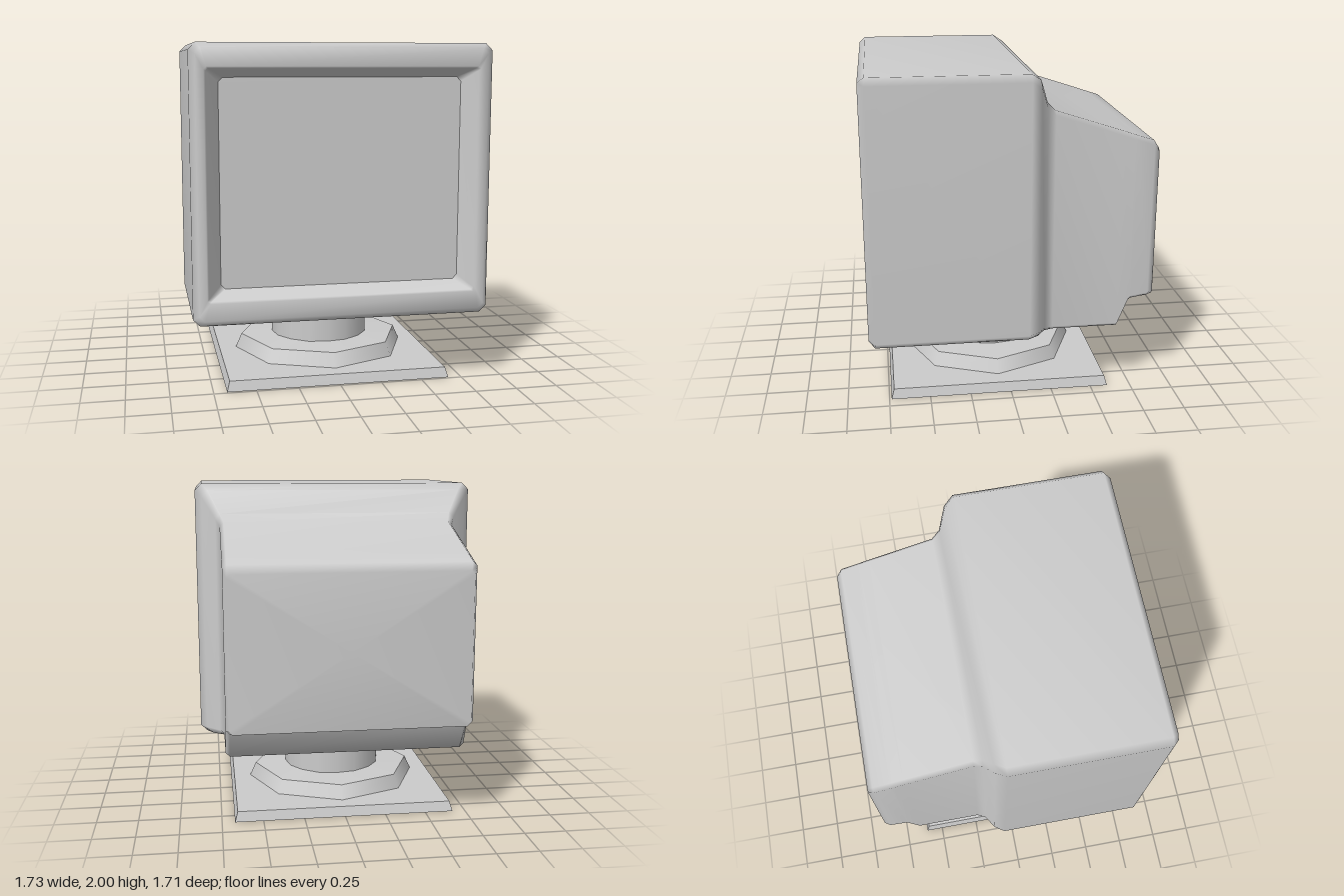
import * as THREE from 'three';

const BASE_Z = 0.065; // centre of the stand

function material(options = {}) {
  return new THREE.MeshStandardMaterial({ color: 0xcccccc, ...options });
}

function addMesh(parent, name, geometry, y = 0, z = 0, options = {}) {
  const mesh = new THREE.Mesh(geometry, material(options));
  mesh.name = name;
  mesh.position.set(0, y, z);
  parent.add(mesh);
  return mesh;
}

// Rectangle with chamfered corners, counter-clockwise seen from the front
function chamferedRect(hw, y0, y1, c) {
  return [
    [hw, y0 + c], [hw, y1 - c], [hw - c, y1], [c - hw, y1],
    [-hw, y1 - c], [-hw, y0 + c], [c - hw, y0], [hw - c, y0],
  ];
}

// Skin through chamfered rectangles running from back to front, closed at the back
function loft(sections) {
  const positions = [];
  const index = [];
  for (const [z, hw, y0, y1, c] of sections) {
    for (const [x, y] of chamferedRect(hw, y0, y1, c)) positions.push(x, y, z);
  }
  for (let i = 0; i < sections.length - 1; i++) {
    for (let j = 0; j < 8; j++) {
      const a = i * 8 + j;
      const b = i * 8 + (j + 1) % 8;
      index.push(a, b, b + 8, a, b + 8, a + 8);
    }
  }
  const [z, , y0, y1] = sections[0];
  const centre = positions.length / 3;
  positions.push(0, (y0 + y1) / 2, z);
  for (let j = 0; j < 8; j++) index.push(centre, (j + 1) % 8, j);
  const geometry = new THREE.BufferGeometry();
  geometry.setAttribute('position', new THREE.Float32BufferAttribute(positions, 3));
  geometry.setIndex(index);
  geometry.computeVertexNormals();
  return geometry;
}

export function createModel() {
  const model = new THREE.Group();
  model.name = 'monitor';

  // Casing: z, half width, bottom, top, corner chamfer
  const casing = [
    [-0.855, 0.70, 0.62, 1.53, 0.02], // back
    [-0.82, 0.72, 0.615, 1.58, 0.025],
    [-0.72, 0.72, 0.60, 1.613, 0.025], // notch under the back
    [-0.705, 0.72, 0.585, 1.618, 0.025],
    [-0.64, 0.72, 0.425, 1.64, 0.025],
    [-0.24, 0.72, 0.425, 1.77, 0.025], // step up to the front shell
    [-0.19, 0.745, 0.425, 1.82, 0.03],
    [-0.14, 0.825, 0.425, 1.96, 0.04],
    [-0.08, 0.865, 0.425, 2.0, 0.04],
    [0.82, 0.865, 0.425, 2.0, 0.04],
    [0.857, 0.83, 0.46, 1.97, 0.03], // bezel
    [0.857, 0.785, 0.56, 1.87, 0.015],
    [0.845, 0.775, 0.57, 1.86, 0.015],
    [0.76, 0.70, 0.62, 1.81, 0.025], // foot of the recess
  ];
  addMesh(model, 'casing', loft(casing));

  // Screen closing the recess
  const outline = chamferedRect(0.70, 0.62, 1.81, 0.025).map(([x, y]) => new THREE.Vector2(x, y));
  addMesh(model, 'screen', new THREE.ShapeGeometry(new THREE.Shape(outline)), 0, 0.76);

  // Stand
  const stand = new THREE.Group();
  stand.name = 'stand';
  stand.position.z = BASE_Z;
  model.add(stand);

  addMesh(stand, 'neck', new THREE.CylinderGeometry(0.31, 0.31, 0.3, 16, 1, true), 0.295);

  // Eight-sided swivel with a shallow top
  addMesh(stand, 'swivelSide', new THREE.CylinderGeometry(0.51, 0.548, 0.085, 8, 1, true), 0.1025);
  addMesh(stand, 'swivelTop', new THREE.CylinderGeometry(0.3, 0.51, 0.012, 8, 1, true), 0.151);

  // Square foot, hollow underneath
  const hollow = { side: THREE.DoubleSide, flatShading: true };
  const rim = new THREE.CylinderGeometry(0.655 * Math.SQRT2, 0.672 * Math.SQRT2, 0.06, 4, 1, true);
  addMesh(stand, 'footRim', rim.rotateY(Math.PI / 4), 0.03, 0, hollow);
  const plate = new THREE.PlaneGeometry(1.31, 1.31).rotateX(-Math.PI / 2);
  addMesh(stand, 'footPlate', plate, 0.06, 0, hollow);

  return model;
}
